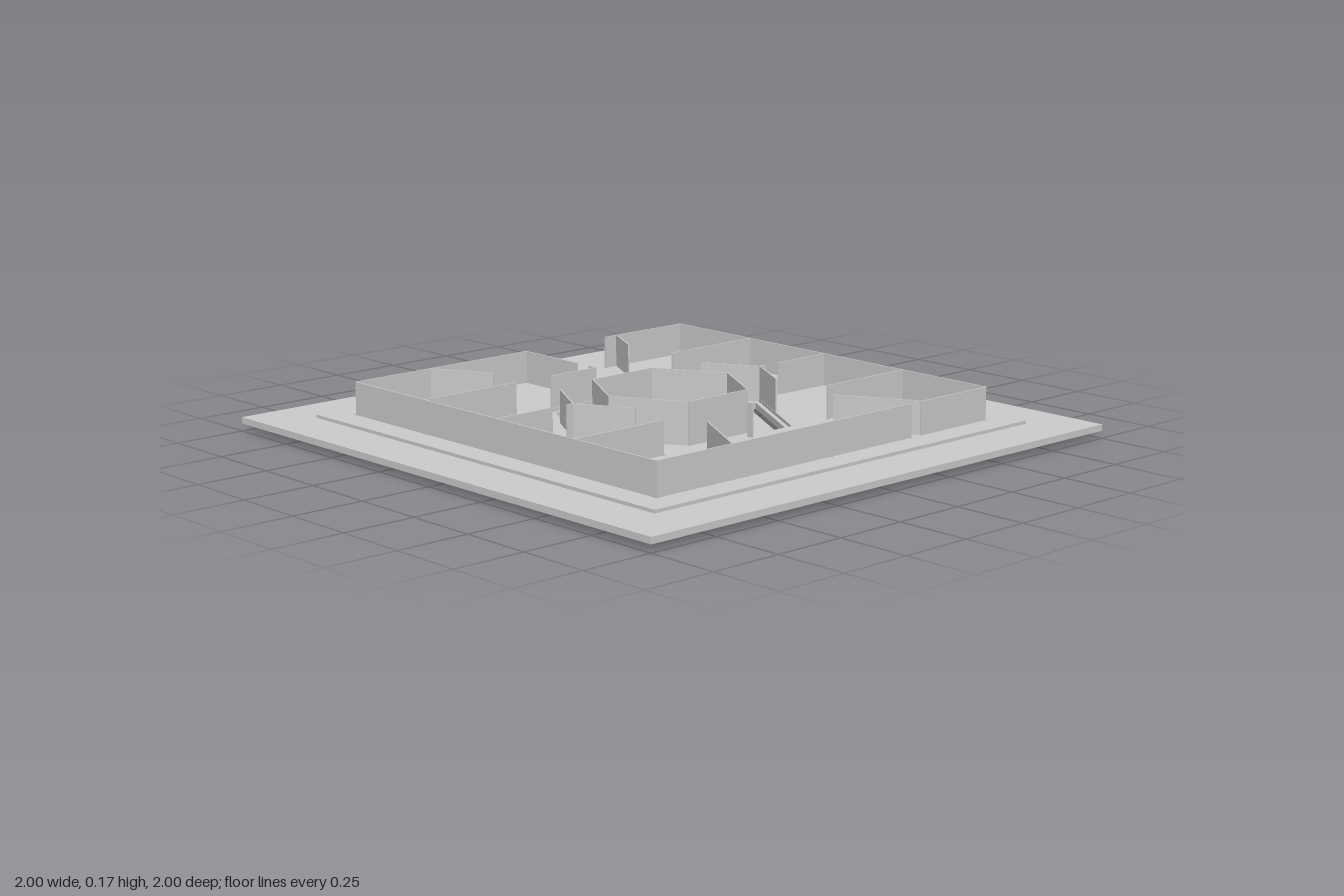
import * as THREE from 'three';

const material = new THREE.MeshStandardMaterial({ color: 0xcccccc, flatShading: true, side: THREE.DoubleSide });
const PITCH = 0.365, EDGE = 0.73;
const FLOOR = 0.058, TOP = 0.17, THICK = 0.005;

function add(parent, name, geometry) {
  const mesh = new THREE.Mesh(geometry, material);
  mesh.name = name;
  parent.add(mesh);
  return mesh;
}

// Corners of a hexagon with points on the x axis
function hexPoints(r) {
  return Array.from({ length: 6 }, (_, i) =>
    new THREE.Vector2(r * Math.cos(i * Math.PI / 3), r * Math.sin(i * Math.PI / 3)));
}

// Horizontal slab from a shape
function slab(parent, name, shape, y0, y1) {
  const g = new THREE.ExtrudeGeometry(shape, { depth: y1 - y0, bevelEnabled: false, curveSegments: 6 });
  g.rotateX(-Math.PI / 2);
  g.translate(0, y0, 0);
  return add(parent, name, g);
}

// Square plate with a hexagonal opening and small peg holes
function plateShape(half, hexRadius) {
  const shape = new THREE.Shape([[-1, -1], [1, -1], [1, 1], [-1, 1]]
    .map(([x, y]) => new THREE.Vector2(x * half, y * half)));
  shape.holes.push(new THREE.Path(hexPoints(hexRadius)));
  for (let i = -2; i <= 2; i++) for (let j = -2; j <= 2; j++) {
    if (Math.abs(i) + Math.abs(j) < 2) continue;
    shape.holes.push(new THREE.Path().absarc(i * PITCH, j * PITCH, 0.008, 0, Math.PI * 2, true));
  }
  return shape;
}

// Thin upright panel between two floor points
function wall(parent, name, x0, z0, x1, z1, y0 = FLOOR) {
  const dx = x1 - x0, dz = z1 - z0;
  const m = add(parent, name, new THREE.BoxGeometry(Math.hypot(dx, dz), TOP - y0, THICK));
  m.position.set((x0 + x1) / 2, (y0 + TOP) / 2, (z0 + z1) / 2);
  m.rotation.y = -Math.atan2(dz, dx);
}

export function createModel() {
  const model = new THREE.Group();
  model.name = 'mazeBoard';

  // Stacked base
  slab(model, 'basePlate', plateShape(1, 0.397), 0.025, 0.047);
  slab(model, 'mazeFloor', plateShape(0.825, 0.414), 0.047, FLOOR);

  // Lowered hexagonal turntable with its ring of walls
  slab(model, 'turntable', new THREE.Shape(hexPoints(0.376)), 0, 0.025);
  const inner = hexPoints(0.265);
  inner.forEach((p, i) => {
    const q = inner[(i + 1) % 6];
    wall(model, 'turntableWall', p.x, p.y, q.x, q.y, 0.025);
  });

  // Outer walls with gaps at the front and back
  const outer = [
    [-EDGE, -EDGE, -EDGE, EDGE], [EDGE, -EDGE, EDGE, EDGE],
    [-EDGE, -EDGE, 0, -EDGE], [PITCH, -EDGE, EDGE, -EDGE],
    [-EDGE, EDGE, 0.37, EDGE], [0.415, EDGE, EDGE, EDGE],
  ];
  outer.forEach((w) => wall(model, 'outerWall', ...w));

  // Inner partitions, mirrored left and right
  for (const s of [-1, 1]) {
    wall(model, 'partition', s * EDGE, -PITCH, s * 0.35, -PITCH);
    wall(model, 'partition', s * EDGE, 0, s * 0.505, 0);
    wall(model, 'partition', s * EDGE, PITCH, s * PITCH, PITCH);
    wall(model, 'slantedPartition', s * 0.42, 0.725, s * 0.28, 0.475);
    wall(model, 'hubStub', s * 0.415, 0, s * 0.445, 0);
    for (const t of [-1, 1]) wall(model, 'hubWall', s * 0.418, 0, s * 0.315, t * 0.18);
  }
  wall(model, 'slantedPartition', -0.42, -0.73, -0.31, -0.53);
  wall(model, 'slantedPartition', 0.42, -0.73, 0.335, -0.57);
  wall(model, 'partition', 0, -EDGE, 0, -0.46);
  wall(model, 'hubWall', -0.2, -PITCH, 0, -PITCH);
  wall(model, 'hubStub', 0, -PITCH, 0, -0.4);
  wall(model, 'hubStub', 0, PITCH, 0, 0.39);

  return model;
}
